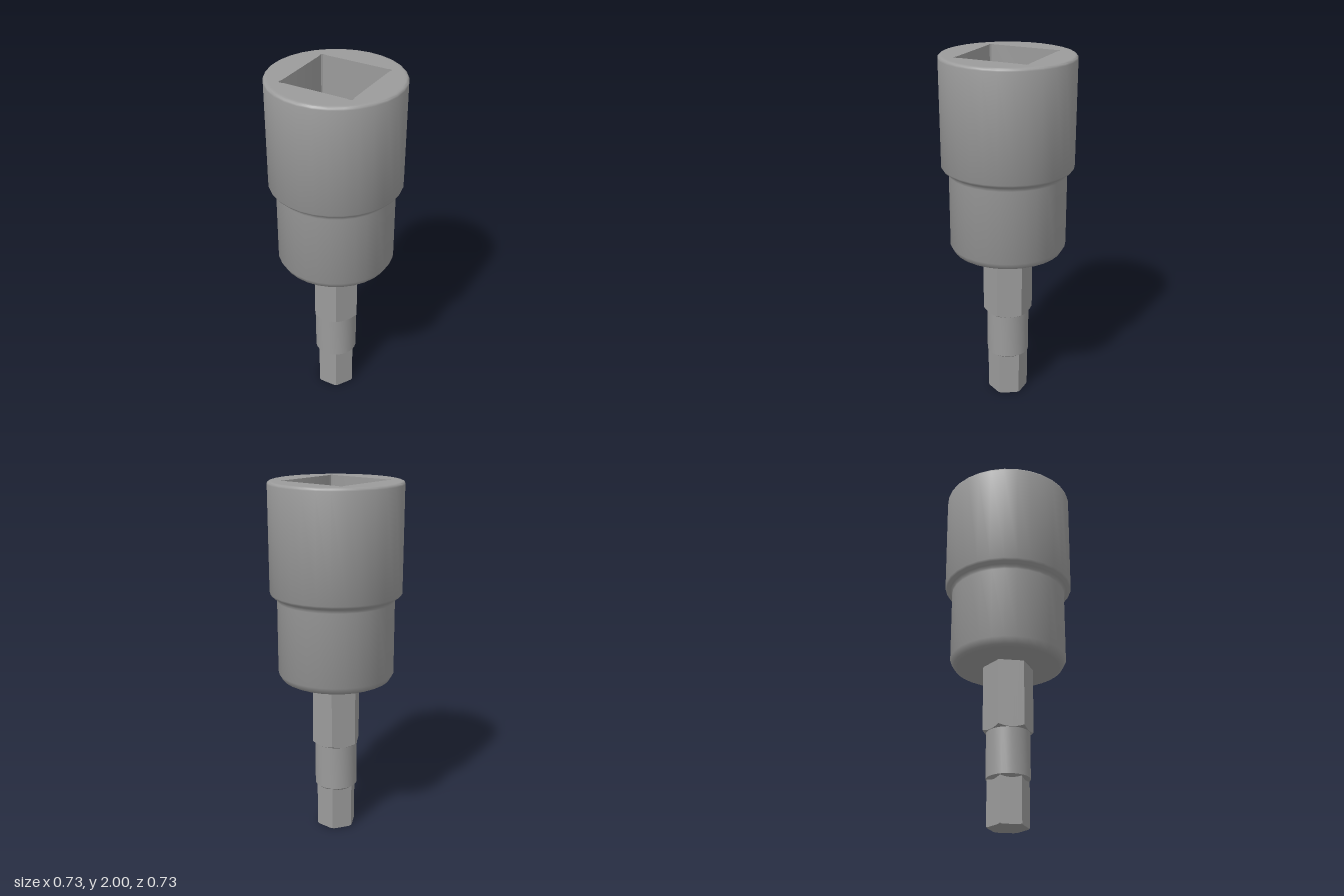
import * as THREE from 'three';
import { toCreasedNormals } from 'three/addons/utils/BufferGeometryUtils.js';

const SIDES = 30;
const material = new THREE.MeshStandardMaterial({ color: 0x9b9b9b });

function part(name, geometry, crease = 0.5) {
  const mesh = new THREE.Mesh(toCreasedNormals(geometry, crease), material);
  mesh.name = name;
  return mesh;
}

// Turned part from [radius, y] pairs, listed bottom to top
const turned = (profile, sides) =>
  new THREE.LatheGeometry(profile.map(([r, y]) => new THREE.Vector2(r, y)), sides);

// Points of a polygonal circle with a corner on the z axis
const circle = (r, n) => Array.from({ length: n }, (_, i) => {
  const a = (i / n) * Math.PI * 2;
  return new THREE.Vector2(Math.sin(a) * r, Math.cos(a) * r);
});

// Level of the recess: a ring with the given hole, from y0 up to y1
function recess(outer, hole, y0, y1) {
  const shape = new THREE.Shape(circle(outer, SIDES));
  shape.holes.push(new THREE.Path(hole));
  const g = new THREE.ExtrudeGeometry(shape, { depth: y1 - y0, bevelEnabled: false });
  return g.rotateX(-Math.PI / 2).translate(0, y0, 0);
}

// Square outline with small relief bulges in the corners
function squareOutline() {
  const corner = [[0.205, 0.178], [0.209, 0.19], [0.209, 0.202], [0.202, 0.209], [0.19, 0.209], [0.178, 0.205]];
  const points = [];
  for (let k = 0; k < 4; k++) {
    for (const [x, y] of corner) {
      points.push(new THREE.Vector2(x, y).rotateAround(new THREE.Vector2(), (k * Math.PI) / 2));
    }
  }
  return points;
}

// Hexagonal prism, corners on the x axis, lower corners trimmed by a cone
function hexShank(cornerRadius, endRadius, y0, y1, slope) {
  const g = new THREE.CylinderGeometry(1, 1, 3, 72, 3, true);
  const p = g.attributes.position;
  const third = Math.PI / 3;
  for (let i = 0; i < p.count; i++) {
    const a = Math.atan2(p.getZ(i), p.getX(i));
    const local = (((a % third) + third) % third) - third / 2;
    const hexRadius = (cornerRadius * Math.cos(third / 2)) / Math.cos(local);
    const rim = Math.min(hexRadius - 0.001, endRadius);
    const row = Math.round(1.5 - p.getY(i));
    const r = [hexRadius, hexRadius, rim, 0][row];
    const y = [y1, y0 + (hexRadius - rim) * slope, y0, y0][row];
    p.setXYZ(i, Math.cos(a) * r, y, Math.sin(a) * r);
  }
  return g;
}

export function createModel() {
  const model = new THREE.Group();
  model.name = 'socketBit';

  // Stepped outer body with rounded rim, shoulder and chamfered base
  model.add(part('body', turned([
    [0, 0.9], [0.285, 0.9], [0.305, 0.91], [0.325, 0.945],
    [0.325, 1.355], [0.328, 1.368], [0.337, 1.378], [0.358, 1.39], [0.365, 1.402],
    [0.367, 1.984], [0.365, 1.992], [0.359, 1.998], [0.351, 2], [0.34, 2],
  ], SIDES), 0.65));

  // Square drive opening, round bore beneath it and narrower blind hole
  model.add(part('squareDrive', recess(0.34, squareOutline(), 1.41, 2)));
  model.add(part('roundBore', recess(0.31, circle(0.204, SIDES), 1.3, 1.41)));
  model.add(part('centreHole', recess(0.31, circle(0.103, 18), 1.0, 1.3)));
  const floor = new THREE.CircleGeometry(0.11, 18).rotateX(-Math.PI / 2).translate(0, 1.0, 0);
  model.add(part('holeFloor', floor));

  // Shank: wide hexagon, round collar, narrow hexagonal tip
  model.add(part('upperHex', hexShank(0.14, 0.12, 0.515, 0.91, 0.7)));
  model.add(part('collar', turned([[0, 0.245], [0.1, 0.245], [0.12, 0.26], [0.12, 0.53]], 30)));
  model.add(part('hexTip', hexShank(0.115, 0.108, 0, 0.256, 0.8)));

  return model;
}
